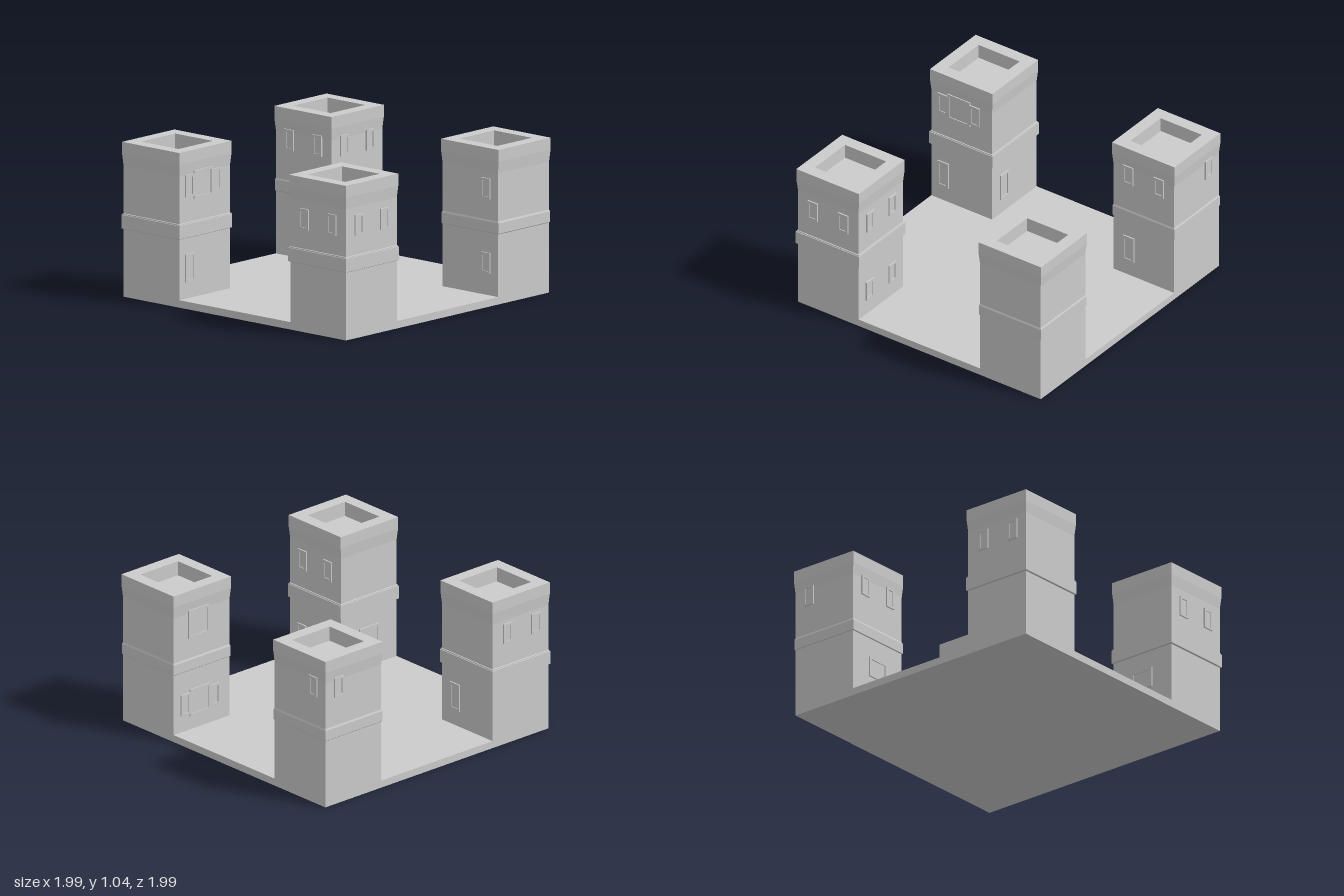
import * as THREE from 'three';

const grey = new THREE.MeshStandardMaterial({ color: 0xcccccc, flatShading: true });
const HALF = 0.247; // half width of a tower wall

function add(parent, geometry, name) {
  const mesh = new THREE.Mesh(geometry, grey);
  mesh.name = name;
  parent.add(mesh);
  return mesh;
}

// Square tower body: a four-sided lathe, band profile chosen per tower, sunken roof
function towerGeometry(band) {
  const profile = [
    [HALF, 0], ...band, [HALF, 0.88], [0.254, 0.96], [0.254, 1.04],
    [0.167, 1.04], [0.167, 0.94], [0, 0.94],
  ];
  const points = profile.map(([r, y]) => new THREE.Vector2(r * Math.SQRT2, y));
  return new THREE.LatheGeometry(points, 4, Math.PI / 4);
}

const deepBand = [[HALF, 0.455], [0.257, 0.46], [0.257, 0.55], [0.253, 0.551], [0.253, 0.558], [HALF, 0.56]];
const slimBand = [[HALF, 0.47], [0.252, 0.475], [0.252, 0.545], [HALF, 0.558]];

function rectangle(path, w, h) {
  path.moveTo(-w / 2, -h / 2);
  path.lineTo(w / 2, -h / 2);
  path.lineTo(w / 2, h / 2);
  path.lineTo(-w / 2, h / 2);
  path.closePath();
  return path;
}

// Raised frame around a recessed pane, facing +z
function addPanel(parent, x, w, h) {
  const border = 0.016;
  const shape = rectangle(new THREE.Shape(), w, h);
  shape.holes.push(rectangle(new THREE.Path(), w - 2 * border, h - 2 * border));
  const frame = new THREE.ExtrudeGeometry(shape, { depth: 0.01, bevelEnabled: false });
  add(parent, frame, 'windowFrame').position.x = x;
  const pane = new THREE.BoxGeometry(w - 2 * border, h - 2 * border, 0.004);
  add(parent, pane, 'windowPane').position.set(x, 0, 0.002);
}

// u runs along the wall from its middle, in the direction of +x or +z
function addWindow(tower, [nx, nz], u, y, kind) {
  const group = new THREE.Group();
  group.name = kind + 'Window';
  group.position.set(nx * HALF + Math.abs(nz) * u, y, nz * HALF + Math.abs(nx) * u);
  group.rotation.y = Math.atan2(nx, nz);
  const panels = {
    small: [[0, 0.08, 0.14]],
    tall: [[0, 0.09, 0.19]],
    wide: [[0, 0.17, 0.14]],
    large: [[0, 0.18, 0.2]],
    triple: [[-0.13, 0.08, 0.15], [0, 0.18, 0.19], [0.13, 0.08, 0.15]],
  };
  for (const [x, w, h] of panels[kind]) addPanel(group, x, w, h);
  tower.add(group);
}

const FRONT = [0, 1], BACK = [0, -1], LEFT = [1, 0], RIGHT = [-1, 0];

// Each window: wall, offset along the wall, height, kind
const towers = [
  { name: 'frontLeftTower', x: 0.738, z: 0.738, band: deepBand, windows: [
    ...[FRONT, LEFT, BACK].flatMap((wall) => [-0.123, 0.123].map((u) => [wall, u, 0.76, 'small'])),
    [BACK, -0.123, 0.23, 'small'], [BACK, 0.13, 0.23, 'small'],
    [RIGHT, 0, 0.265, 'wide'],
  ] },
  { name: 'frontRightTower', x: -0.742, z: 0.738, band: deepBand, windows: [
    [LEFT, 0.02, 0.805, 'triple'], [LEFT, 0.148, 0.255, 'tall'],
    [RIGHT, -0.115, 0.785, 'small'], [RIGHT, 0.135, 0.785, 'small'],
    [BACK, 0.115, 0.255, 'tall'],
  ] },
  { name: 'backLeftTower', x: 0.738, z: -0.742, band: slimBand, windows: [
    [FRONT, 0.14, 0.765, 'small'], [FRONT, 0.14, 0.265, 'small'],
    [RIGHT, -0.03, 0.8, 'large'], [RIGHT, -0.015, 0.24, 'triple'],
  ] },
  { name: 'backRightTower', x: -0.742, z: -0.742, band: slimBand, windows: [
    ...[FRONT, LEFT].flatMap((wall) => [-0.125, 0.125].map((u) => [wall, u, 0.83, 'small'])),
    [FRONT, 0, 0.265, 'wide'], [LEFT, 0.12, 0.255, 'tall'],
    [BACK, -0.13, 0.83, 'small'], [RIGHT, -0.13, 0.83, 'small'],
  ] },
];

export function createModel() {
  const model = new THREE.Group();
  model.name = 'fourTowers';

  // Ground slab
  add(model, new THREE.BoxGeometry(1.974, 0.05, 1.974), 'floorSlab').position.set(-0.002, 0.025, -0.002);

  // Corner towers with their windows
  for (const { name, x, z, band, windows } of towers) {
    const tower = new THREE.Group();
    tower.name = name;
    tower.position.set(x, 0, z);
    add(tower, towerGeometry(band), 'towerBody');
    for (const w of windows) addWindow(tower, ...w);
    model.add(tower);
  }
  return model;
}
